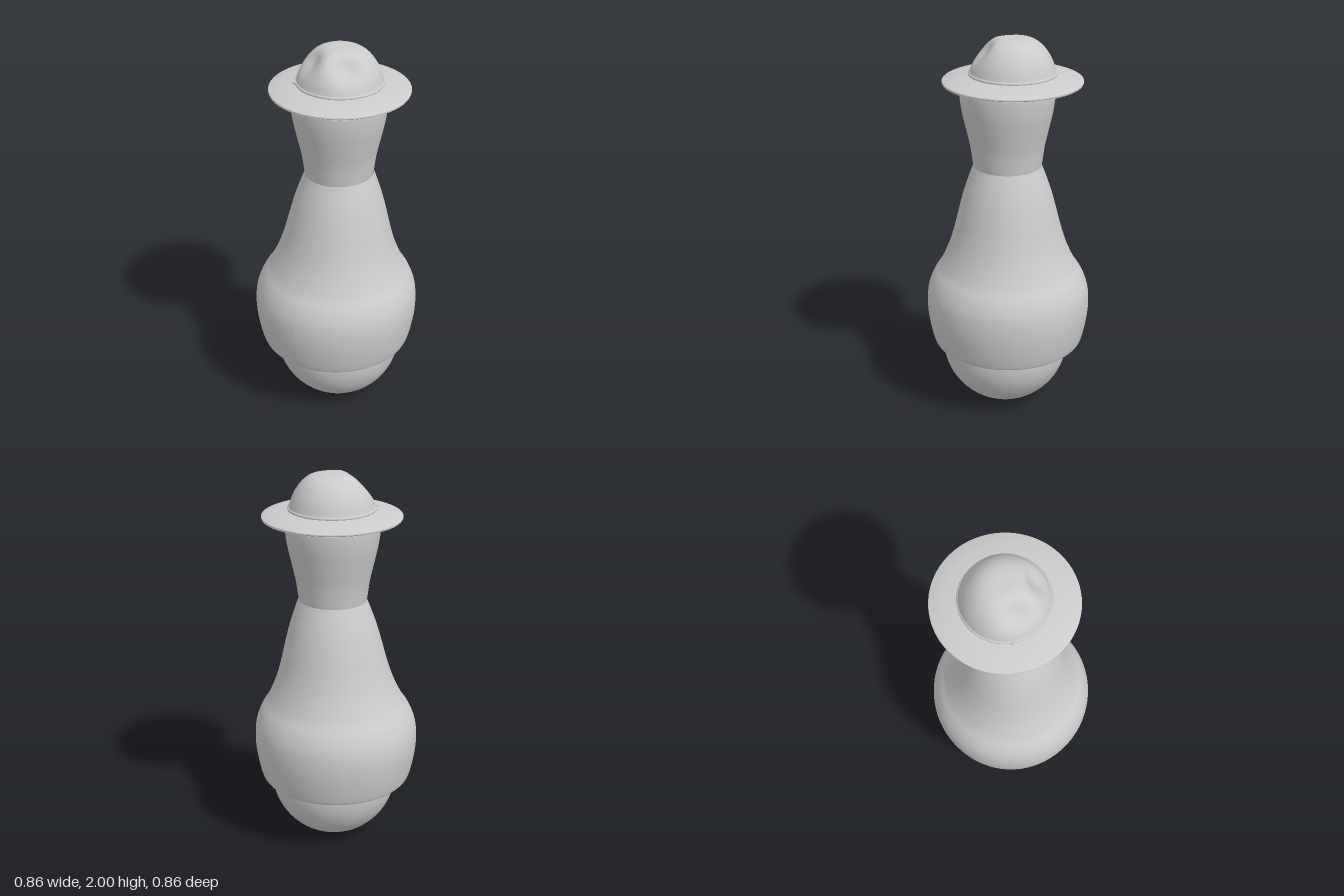
import * as THREE from 'three';

const material = new THREE.MeshStandardMaterial({ color: 0xcccccc, side: THREE.DoubleSide });

// Smooth profile of [radius, height] points, listed from bottom to top
function smooth(points, count = 48) {
  return new THREE.SplineCurve(points.map(([r, y]) => new THREE.Vector2(r, y))).getPoints(count)
    .map(p => p.set(Math.max(p.x, 0), p.y));
}

function addMesh(group, name, geometry, x = 0, y = 0, z = 0) {
  const mesh = new THREE.Mesh(geometry, material);
  mesh.name = name;
  mesh.position.set(x, y, z);
  group.add(mesh);
  return mesh;
}

const lathe = (profile, sides = 72) => new THREE.LatheGeometry(profile, sides);

export function createModel() {
  const model = new THREE.Group();
  model.name = 'figure';

  // Ball the body rests on
  addMesh(model, 'baseBall', new THREE.SphereGeometry(0.335, 56, 40), 0.017, 0.336, 0.007);

  // Hollow bell-shaped body with a rounded lower lip, leaning slightly toward the neck
  const body = lathe(smooth([
    [0.335, 0.52], [0.352, 0.44], [0.362, 0.375], [0.372, 0.357], [0.388, 0.357],
    [0.4, 0.372], [0.418, 0.45], [0.43, 0.55], [0.424, 0.65], [0.395, 0.73],
    [0.352, 0.8], [0.308, 0.9], [0.277, 1.0], [0.252, 1.1], [0.225, 1.2],
    [0.198, 1.28], [0.174, 1.345],
  ], 90));
  const bp = body.attributes.position;
  for (let i = 0; i < bp.count; i++) {
    const t = Math.max(0, (bp.getY(i) - 0.6) / 0.74);
    bp.setX(i, bp.getX(i) + 0.016 * t);
    bp.setZ(i, bp.getZ(i) - 0.008 * t);
  }
  body.computeVertexNormals();
  addMesh(model, 'body', body);

  // Flared head above the pinched neck
  addMesh(model, 'head', lathe(smooth([
    [0.165, 1.315], [0.174, 1.345], [0.189, 1.45], [0.211, 1.55],
    [0.23, 1.64], [0.239, 1.72], [0.236, 1.79],
  ])), 0.014, 0, -0.007);

  // Hat, set slightly back on the head
  const hat = new THREE.Group();
  hat.name = 'hat';
  hat.position.set(0.004, 0, -0.032);
  model.add(hat);

  addMesh(hat, 'brim', lathe([
    ...smooth([[0.002, 1.782], [0.18, 1.782], [0.33, 1.778], [0.347, 1.78],
      [0.35, 1.787], [0.342, 1.793], [0.29, 1.808], [0.23, 1.819], [0.19, 1.825]], 60),
  ]));

  // Crown with two finger pinches toward the front
  const crown = lathe(smooth([
    [0.222, 1.808], [0.212, 1.84], [0.198, 1.88], [0.177, 1.92],
    [0.147, 1.958], [0.108, 1.986], [0.06, 1.999], [0, 2.0],
  ], 50), 96);
  const cp = crown.attributes.position;
  for (let i = 0; i < cp.count; i++) {
    const x = cp.getX(i), y = cp.getY(i), z = cp.getZ(i);
    const dx = Math.abs(x) - 0.1, dz = z - 0.11, dy = y - 1.94;
    const dent = 0.034 * Math.exp(-(dx * dx + dz * dz + dy * dy) / 0.0045);
    cp.setXYZ(i, x - Math.sign(x) * dent * 0.55, y - dent * 0.5, z - dent * 0.75);
  }
  crown.computeVertexNormals();
  // Keep the lathe seam smooth
  const normals = crown.attributes.normal, rows = 51, last = 96 * rows;
  const a = new THREE.Vector3(), b = new THREE.Vector3();
  for (let j = 0; j < rows; j++) {
    a.fromBufferAttribute(normals, j).add(b.fromBufferAttribute(normals, last + j)).normalize();
    normals.setXYZ(j, a.x, a.y, a.z);
    normals.setXYZ(last + j, a.x, a.y, a.z);
  }
  addMesh(hat, 'crown', crown);

  // Cord around the crown, with its small knot
  const cord = addMesh(hat, 'hatBand', new THREE.TorusGeometry(0.212, 0.009, 10, 72), 0, 1.825, 0);
  cord.rotation.x = Math.PI / 2;
  addMesh(hat, 'bandKnot', new THREE.SphereGeometry(0.01, 12, 8), -0.178, 1.826, 0.132);

  return model;
}
